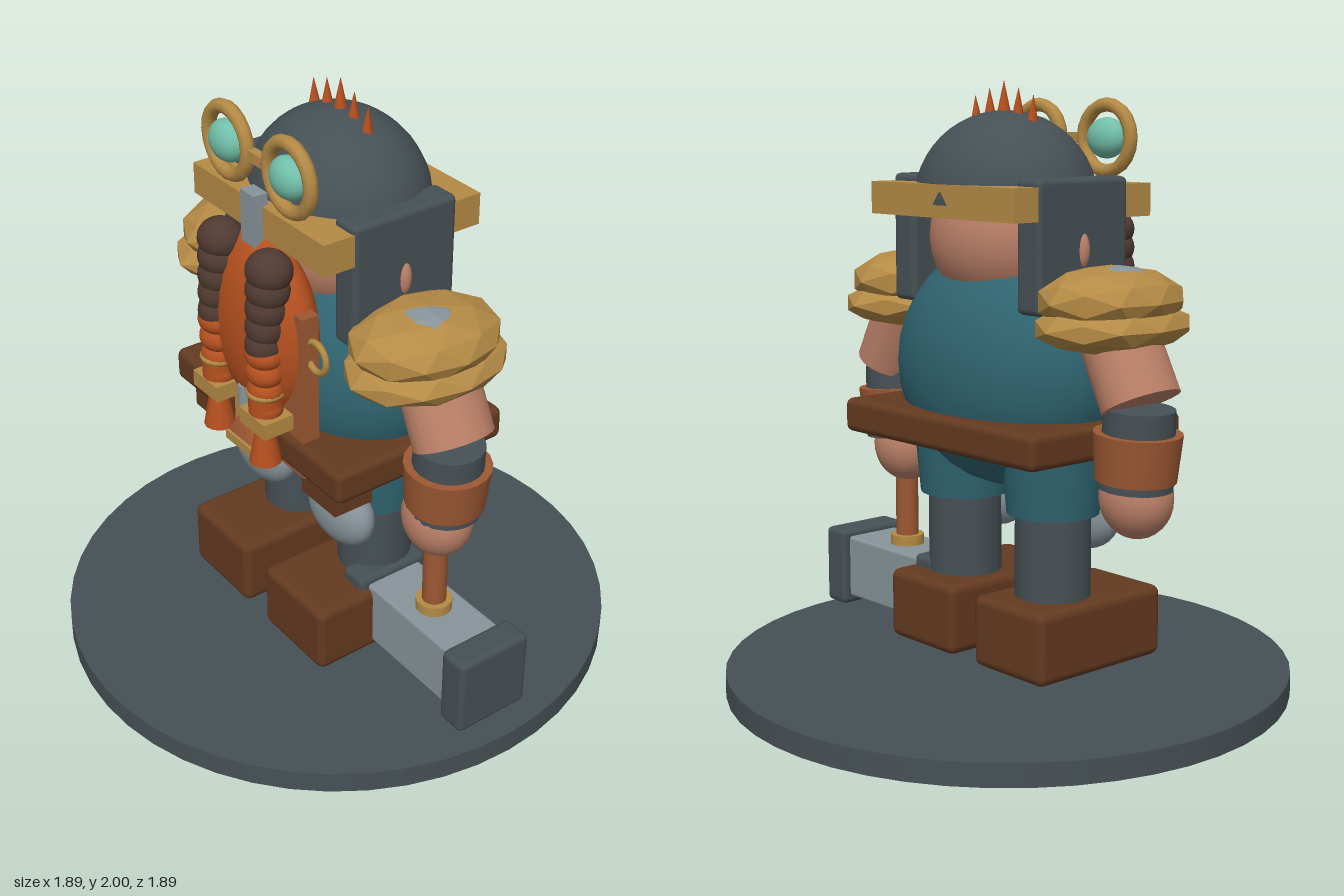
import * as THREE from 'three';
import { RoundedBoxGeometry } from 'three/addons/geometries/RoundedBoxGeometry.js';

const mat = (name, color) => {
  const m = new THREE.MeshStandardMaterial({ color });
  m.name = name;
  return m;
};

export function createModel() {
  const iron = mat('dark iron', 0x465055);
  const steel = mat('steel', 0x87949a);
  const brown = mat('dark brown leather', 0x633a20);
  const leather = mat('tan leather', 0x9c5833);
  const gold = mat('brass', 0xb48a45);
  const skin = mat('skin', 0xbb8068);
  const teal = mat('teal cloth', 0x2f6470);
  const orange = mat('orange hair', 0xb5501f);
  const hair = mat('brown hair', 0x503a31);
  const glass = mat('green glass', 0x72bfa9);

  const model = new THREE.Group();
  model.name = 'warrior';

  const add = (name, geometry, material, x, y, z) => {
    const mesh = new THREE.Mesh(geometry, material);
    mesh.name = name;
    mesh.position.set(x, y, z);
    model.add(mesh);
    return mesh;
  };
  // Boxes are given by their extents on each axis
  const box = (name, material, [x0, x1], [y0, y1], [z0, z1], r = 0) => {
    const size = [Math.abs(x1 - x0), y1 - y0, z1 - z0];
    const g = r ? new RoundedBoxGeometry(...size, 2, r) : new THREE.BoxGeometry(...size);
    return add(name, g, material, (x0 + x1) / 2, (y0 + y1) / 2, (z0 + z1) / 2);
  };
  const ball = (name, material, x, y, z, rx, ry = rx, rz = rx) => {
    const mesh = add(name, new THREE.SphereGeometry(1, 24, 16), material, x, y, z);
    mesh.scale.set(rx, ry, rz);
    return mesh;
  };
  // Faceted ellipsoid with hard facets
  const rock = (name, material, x, y, z, rx, ry, rz) => {
    const g = new THREE.IcosahedronGeometry(1, 1);
    g.scale(rx, ry, rz);
    g.computeVertexNormals();
    return add(name, g, material, x, y, z);
  };
  const tube = (name, material, x, [y0, y1], z, rTop, rBottom = rTop, sides = 20) =>
    add(name, new THREE.CylinderGeometry(rTop, rBottom, y1 - y0, sides), material, x, (y0 + y1) / 2, z);

  // Stand
  tube('base', iron, 0, [0, 0.075], 0, 0.945, 0.945, 48);

  // Body, belt and apron
  ball('torso', teal, 0, 1.08, 0, 0.445, 0.4, 0.3);
  box('belt', brown, [-0.47, 0.47], [0.83, 0.945], [-0.325, 0.335], 0.025);
  box('apron', leather, [-0.26, 0.26], [0.81, 1.39], [0.255, 0.315]);
  box('buckle', gold, [-0.085, 0.085], [0.81, 0.965], [0.3, 0.345]);
  box('buckleFoot', gold, [-0.085, 0.085], [0.81, 0.842], [0.3, 0.385]);
  const flap = tube('buckleFlap', leather, 0, [0.842, 0.96], 0.335, 0.02, 0.115, 4);
  flap.geometry.rotateY(Math.PI / 4);
  flap.scale.z = 0.5;
  tube('beardPin', steel, 0, [0.965, 1.05], 0.36, 0.022);

  // Head and helmet
  ball('head', skin, 0, 1.5, 0, 0.27, 0.25, 0.245);
  const dome = add('helmetDome',
    new THREE.SphereGeometry(1, 32, 12, 0, Math.PI * 2, 0, Math.PI / 2), iron, 0, 1.61, -0.01);
  dome.scale.set(0.32, 0.295, 0.28);
  box('helmetBand', gold, [-0.35, 0.35], [1.57, 1.675], [-0.287, 0.3]);
  box('noseGuard', steel, [-0.037, 0.037], [1.535, 1.715], [0.28, 0.33]);
  ball('beard', orange, 0, 1.26, 0.28, 0.25, 0.31, 0.125);

  // Crest spikes, tallest in the middle
  for (let i = -2; i <= 2; i++) {
    const top = 2 - 0.0225 * Math.abs(i);
    const spike = add('crestSpike', new THREE.ConeGeometry(0.028, 0.13, 10), orange,
      i * 0.068, top - 0.065, -0.017);
    spike.rotation.z = -i * 0.03;
  }

  // Goggles
  box('goggleBridge', gold, [-0.075, 0.075], [1.797, 1.832], [0.27, 0.3]);

  for (const s of [-1, 1]) {
    // Goggle rim and lens
    add('goggleRim', new THREE.TorusGeometry(0.108, 0.023, 8, 20), gold, s * 0.163, 1.815, 0.287);
    ball('goggleLens', glass, s * 0.163, 1.815, 0.287, 0.077, 0.067, 0.052);

    // Cheek plate and ear
    box('cheekPlate', iron, [s * 0.25, s * 0.357], [1.28, 1.7], [-0.193, 0.193], 0.02);
    ball('ear', skin, s * 0.335, 1.475, 0, 0.037, 0.065, 0.027);

    // Braid: brown beads above, orange beads below, bound with brass
    for (let i = 0; i < 5; i++) {
      ball('braidBeadBrown', hair, s * 0.133, 1.515 - i * 0.062, 0.345 + i * 0.006,
        0.077 - i * 0.004, 0.066, 0.073 - i * 0.003);
    }
    for (let i = 0; i < 4; i++) {
      ball('braidBeadOrange', orange, s * 0.133, 1.235 - i * 0.065, 0.369,
        0.067 - i * 0.003, 0.052, 0.062 - i * 0.003);
    }
    const bind = add('braidRing', new THREE.TorusGeometry(0.052, 0.011, 8, 16), gold, s * 0.133, 1.097, 0.369);
    bind.rotation.x = Math.PI / 2;
    tube('braidEnd', orange, s * 0.133, [0.98, 1.1], 0.369, 0.055);
    box('braidClasp', gold, [s * 0.065, s * 0.205], [0.97, 1.025], [0.31, 0.425]);
    tube('braidTassel', orange, s * 0.133, [0.84, 0.975], 0.375, 0.028, 0.053, 12);

    // Apron ring and belt pouch
    add('apronRing', new THREE.TorusGeometry(0.05, 0.011, 8, 18), gold, s * 0.29, 1.265, 0.285);
    box('pouch', brown, [s * 0.225, s * 0.405], [0.74, 0.87], [0.155, 0.3]);

    // Layered shoulder armour
    rock('shoulderPadUpper', gold, s * 0.465, 1.33, 0.01, 0.205, 0.108, 0.26);
    rock('shoulderPadLower', gold, s * 0.475, 1.25, 0.01, 0.21, 0.085, 0.285);
    rock('shoulderStud', steel, s * 0.485, 1.395, 0.02, 0.105, 0.043, 0.105);

    // Arm, bracer and fist
    const arm = add('upperArm', new THREE.CylinderGeometry(0.115, 0.118, 0.32, 20), skin, s * 0.535, 1.17, 0);
    arm.rotation.z = s * 0.47;
    arm.scale.z = 1.15;
    const sleeve = tube('forearm', iron, s * 0.59, [0.76, 1.01], 0.005, 0.112, 0.118);
    sleeve.rotation.z = -s * 0.06;
    const bracer = tube('bracer', leather, s * 0.587, [0.785, 0.935], 0.005, 0.14, 0.128);
    bracer.rotation.z = -s * 0.06;
    ball('fist', skin, s * 0.57, 0.725, 0.022, 0.126, 0.13, 0.108);

    // Leg, knee guard and boot
    tube('thigh', teal, s * 0.22, [0.62, 0.93], 0, 0.18, 0.152);
    tube('shin', iron, s * 0.22, [0.3, 0.66], 0, 0.125);
    ball('kneeGuard', steel, s * 0.22, 0.602, 0.14, 0.152, 0.125, 0.078);
    box('boot', brown, [s * 0.053, s * 0.385], [0.105, 0.345], [-0.205, 0.345], 0.03);
  }

  // Hammer held head down in the left hand
  tube('hammerHandle', leather, 0.57, [0.37, 0.72], 0.022, 0.04);
  tube('hammerCollar', gold, 0.57, [0.355, 0.395], 0.022, 0.06);
  box('hammerHead', steel, [0.3, 0.79], [0.135, 0.36], [-0.085, 0.13], 0.012);
  for (const x of [0.255, 0.775]) {
    box('hammerFace', iron, [x, x + 0.107], [0.107, 0.385], [-0.115, 0.16], 0.02);
  }
  return model;
}
